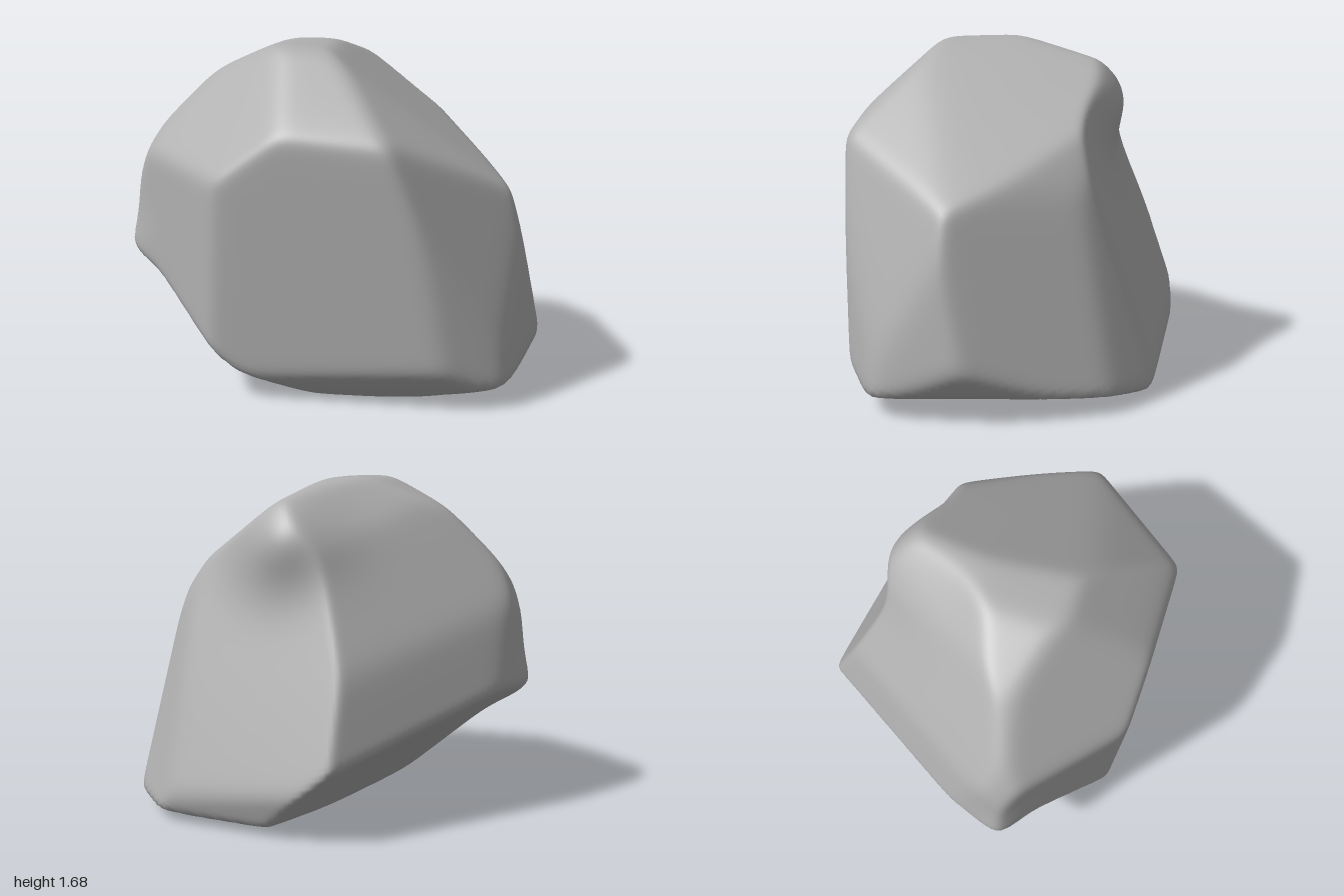
import * as THREE from 'three';
import { mergeVertices } from 'three/addons/utils/BufferGeometryUtils.js';

// Worn facets of the stone: outward direction (x, y, z) and plane offset
const FACETS = [
  // front and its rounded upper slope
  [-0.07, -0.04, 1, 0.765], [0, 0.55, 0.83, 1.37], [0, 0.75, 0.66, 1.49],
  // crown
  [0.05, 1, 0.04, 1.655], [0.05, 1, -0.3, 1.68], [-0.44, 0.68, -0.59, 1.245],
  // +x shoulder
  [0.6, 0.8, 0, 1.315], [0.6, 0.75, 0.25, 1.35], [0.82, 0.48, -0.33, 1.12],
  // +x side and its rounded corners
  [1, 0.25, -0.37, 1.015], [0.92, 0.1, 0.36, 1.075], [0.75, 0.3, 0.66, 1.175],
  [0.45, 0.05, 0.88, 1.0], [0.7, 0.24, -0.7, 0.915],
  // underside and its bevels
  [0.8, -0.6, 0, 0.685], [0.2, -0.97, 0, 0.1], [0, -1, -0.03, 0], [0, -0.7, 0.7, 0.455],
  [-0.65, -0.76, 0, 0.175], [-0.35, -0.93, 0, 0.035], [-0.63, -0.742, -0.224, 0.135],
  // back
  [0.15, -0.3, -0.94, 0.7], [0.25, 0.34, -1, 0.872],
  [-0.76, 0.2, -0.65, 0.85], [-0.7, 0.5, -0.7, 1.095],
  // -x side, front corner and shoulder
  [-0.95, 0.08, -0.3, 0.95], [-0.7, 0, 0.71, 0.89], [-0.9, 0.4, 0, 1.29],
  [-0.7, 0.7, 0, 1.485], [-0.4, 0.92, 0, 1.635], [-0.5, 0.6, 0.62, 1.345],
];
const CENTRE = new THREE.Vector3(0, 0.75, 0);
const SHARPNESS = 60;

// Local swells: place, push and width
const SWELLS = [
  // crest behind the crown
  { at: new THREE.Vector3(0.05, 1.42, -0.37), push: new THREE.Vector3(0, -0.01, -0.15), width: 0.25 },
  // pointed -x tip
  { at: new THREE.Vector3(-0.97, 0.61, 0.24), push: new THREE.Vector3(-0.03, -0.02, 0.01), width: 0.15 },
];

// Distance from the centre to the softly rounded facets along a direction
function radius(dir) {
  let sum = 0;
  for (const [x, y, z, d] of FACETS) {
    const facing = x * dir.x + y * dir.y + z * dir.z;
    if (facing > 0) sum += (facing / (d - y * CENTRE.y)) ** SHARPNESS;
  }
  return sum ** (-1 / SHARPNESS);
}

export function createModel() {
  const group = new THREE.Group();
  group.name = 'boulder';
  const stone = new THREE.MeshStandardMaterial({ color: 0xb0b0b0 });
  stone.name = 'grey stone';

  // Push a fine sphere out to the facets, then raise the swells
  let geometry = new THREE.IcosahedronGeometry(1, 48);
  geometry.deleteAttribute('uv');
  geometry.deleteAttribute('normal');
  geometry = mergeVertices(geometry, 1e-5);
  const position = geometry.attributes.position;
  const v = new THREE.Vector3();
  const base = new THREE.Vector3();
  for (let i = 0; i < position.count; i++) {
    v.fromBufferAttribute(position, i).normalize();
    v.multiplyScalar(radius(v)).add(CENTRE);
    base.copy(v);
    for (const { at, push, width } of SWELLS) {
      v.addScaledVector(push, Math.exp(-((base.distanceTo(at) / width) ** 2)));
    }
    position.setXYZ(i, v.x, v.y, v.z);
  }

  // Stand it on the ground
  geometry.computeBoundingBox();
  geometry.translate(0, -geometry.boundingBox.min.y, 0);
  geometry.computeVertexNormals();

  const rock = new THREE.Mesh(geometry, stone);
  rock.name = 'rock';
  group.add(rock);
  return group;
}
